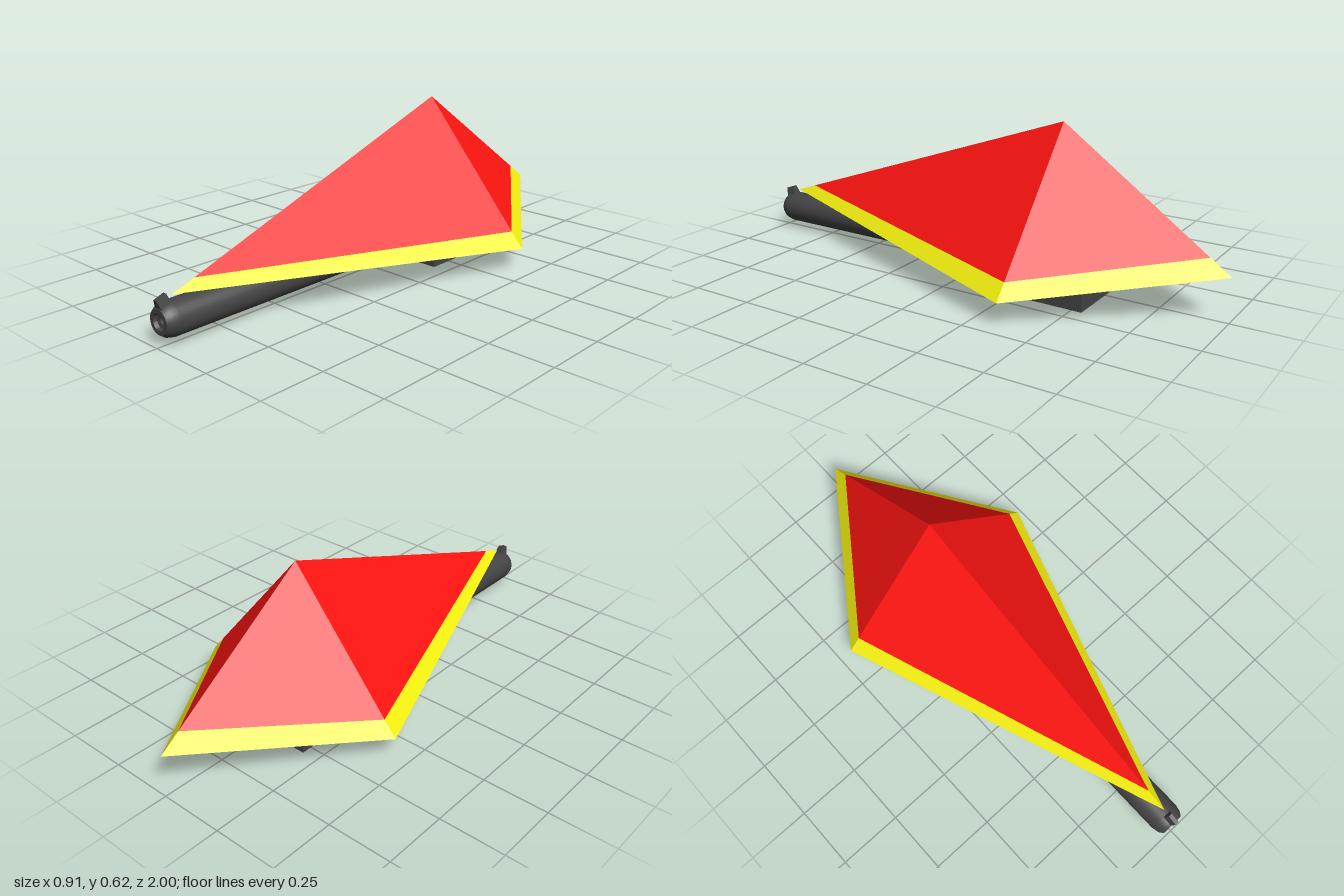
import * as THREE from 'three';
import { toCreasedNormals } from 'three/addons/utils/BufferGeometryUtils.js';

const material = (color, flatShading = true) => new THREE.MeshStandardMaterial({ color, flatShading });

function part(name, geometry, mat) {
  const mesh = new THREE.Mesh(geometry, mat);
  mesh.name = name;
  return mesh;
}

// Flat-shaded geometry from a list of triangles, each given as three Vector3
function facets(triangles) {
  const geometry = new THREE.BufferGeometry().setFromPoints(triangles.flat());
  geometry.computeVertexNormals();
  return geometry;
}

export function createModel() {
  const model = new THREE.Group();
  const V = (x, y, z) => new THREE.Vector3(x, y, z);
  const red = material(0xff1410);
  const yellow = material(0xf8f410);
  const dark = material(0x444444);

  // Kite-shaped pyramid hull: front, left, back and right corners
  const apex = V(0, 0.62, -0.355);
  const belly = V(0, 0.147, -0.355);
  const outer = [V(0, 0.165, 0.93), V(0.455, 0.088, -0.36), V(0, 0.165, -1), V(-0.455, 0.088, -0.36)];
  const split = [0.93, 0.89, 0.877, 0.89]; // where red meets yellow along each ridge
  const inner = outer.map((p, i) => apex.clone().lerp(p, split[i]));

  const top = [], rim = [], underside = [];
  for (let i = 0; i < 4; i++) {
    const j = (i + 1) % 4;
    top.push([apex, inner[i], inner[j]]);
    rim.push([inner[i], outer[i], outer[j]], [inner[i], outer[j], inner[j]]);
    underside.push([belly, outer[j], outer[i]]);
  }
  model.add(part('hullTop', facets(top), red));
  model.add(part('hullRim', facets(rim), yellow));
  model.add(part('hullUnderside', facets(underside), yellow));

  // Mounting block under the hull, its top buried in the underside
  const block = new THREE.BoxGeometry(0.374, 0.17, 0.38);
  block.translate(0, 0.085, -0.35);
  model.add(part('mountBlock', block, dark));

  // Barrel with chamfered muzzle and recessed bore
  const profile = [
    [0, -0.2], [0.062, -0.2], [0.062, 0.945], [0.056, 0.972], [0.045, 0.988],
    [0.03, 0.988], [0.026, 0.975], [0.013, 0.972], [0.011, 0.94], [0, 0.94],
  ].map(([r, z]) => new THREE.Vector2(r, z));
  const barrel = new THREE.LatheGeometry(profile, 32).rotateX(Math.PI / 2);
  barrel.translate(0, 0.087, 0);
  model.add(part('barrel', toCreasedNormals(barrel, 0.45), material(0x444444, false)));

  // Front sight: a small block narrowing upward, tipped forward
  const sight = new THREE.BoxGeometry(0.044, 0.05, 0.042);
  const pos = sight.attributes.position;
  for (let i = 0; i < pos.count; i++) {
    if (pos.getY(i) > 0) pos.setX(i, pos.getX(i) * 0.36);
  }
  sight.computeVertexNormals();
  sight.rotateX(0.35).translate(0, 0.147, 0.968);
  model.add(part('frontSight', sight, dark));

  return model;
}
